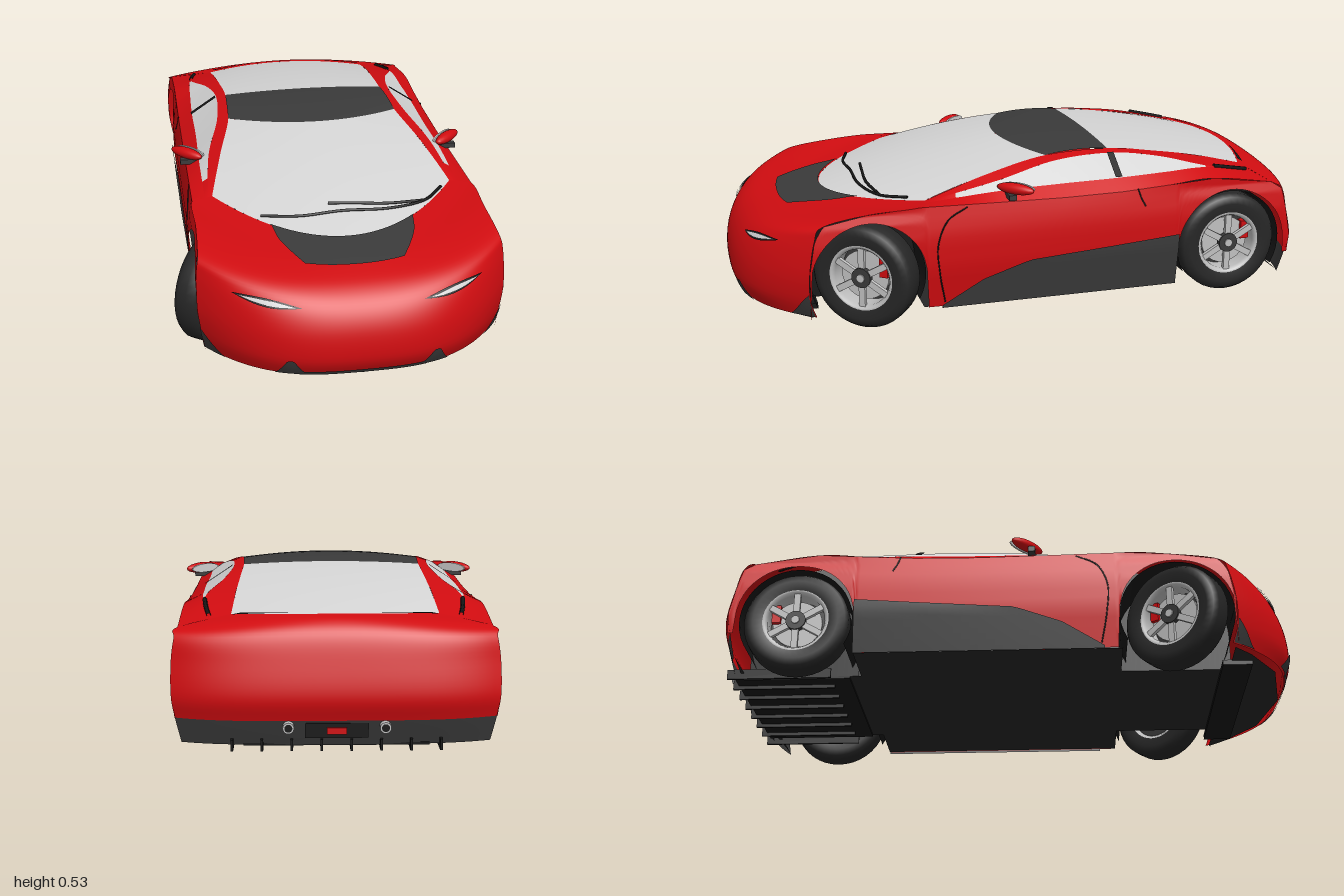
import * as THREE from 'three';
import { ParametricGeometry } from 'three/addons/geometries/ParametricGeometry.js';

const mat = (name, color) => new THREE.MeshStandardMaterial({ name, color, side: THREE.DoubleSide });
const lerp = THREE.MathUtils.lerp;
const V = (p) => new THREE.Vector3(...p);

// Linear lookup in rows of [key, value], keys ascending
function lookup(rows, k) {
  if (k <= rows[0][0]) return rows[0][1];
  for (let i = 1; i < rows.length; i++) {
    const [a, va] = rows[i - 1], [b, vb] = rows[i];
    if (k <= b) return lerp(va, vb, (k - a) / (b - a));
  }
  return rows[rows.length - 1][1];
}

// Smooth curve through rows of numbers, t counts rows
function spline(rows, t) {
  const n = rows.length - 1, i = Math.min(Math.floor(Math.max(t, 0)), n - 1), f = t - i;
  const p = (k) => rows[Math.min(Math.max(k, 0), n)];
  return rows[i].map((_, c) => {
    const a = p(i - 1)[c], b = p(i)[c], d = p(i + 1)[c], e = p(i + 2)[c];
    return b + 0.5 * f * (d - a + f * (2 * a - 5 * b + 4 * d - e + f * (3 * (b - d) + e - a)));
  });
}

// Rings of the nose and tail: half width, y, y gain at edge, z, z loss at edge, roundness
const NOSE = [
  [0.41, 0.375, 0.035, 0.665, 0.295, 2], [0.48, 0.365, 0.045, 0.74, 0.34, 2],
  [0.48, 0.35, 0.05, 0.82, 0.25, 2.4], [0.486, 0.325, 0.05, 0.90, 0.18, 3],
  [0.494, 0.28, 0.05, 0.955, 0.205, 3], [0.497, 0.21, 0.01, 0.988, 0.218, 3],
  [0.487, 0.12, 0.01, 0.995, 0.225, 3], [0.477, 0.062, 0, 0.97, 0.22, 3],
];
const TAIL = [
  [0.32, 0.435, -0.01, -0.865, -0.06, 2], [0.48, 0.425, -0.03, -0.91, -0.05, 2],
  [0.488, 0.385, -0.015, -0.95, -0.05, 4], [0.497, 0.30, 0, -0.975, -0.06, 4],
  [0.497, 0.20, 0, -0.992, -0.057, 4], [0.487, 0.13, 0, -0.975, -0.05, 4],
  [0.47, 0.05, 0, -0.95, -0.04, 4],
];
const ring = (rows) => (u, t) => {
  const [w, y, dy, z, dz, p] = spline(rows, t), a = Math.abs(u);
  return [w * u, y + dy * a * a, z - dz * a ** p];
};
const nose = ring(NOSE), tail = ring(TAIL);

// Side wall: x by height, upper edge and arched lower edge by z
const WHEEL_Y = 0.18, FRONT_Z = 0.575, REAR_Z = -0.71;
const sideX = (y) => lookup([[0.05, 0.475], [0.2, 0.497], [0.3, 0.497], [0.36, 0.49], [0.395, 0.48]], y);
const sideTop = (z) => lookup([[-0.935, 0.2], [-0.915, 0.3], [-0.9, 0.37], [-0.86, 0.395], [-0.64, 0.425],
  [-0.48, 0.415], [-0.31, 0.405], [-0.1, 0.402], [0.12, 0.405], [0.4, 0.41], [0.57, 0.4], [0.72, 0.375],
  [0.75, 0.33], [0.77, 0.22]], z);
const arch = (z, c, r) => (Math.abs(z - c) < r ? WHEEL_Y + Math.sqrt(r * r - (z - c) ** 2) : 0);
const sideLow = (z) => Math.min(sideTop(z),
  Math.max(z < -0.9 ? 0.13 : 0.055, arch(z, FRONT_Z, 0.192), arch(z, REAR_Z, 0.2)));

// Glass panels as ruled patches with a bulge
const wsBase = (u) => [0.41 * u, 0.375 + 0.035 * u * u, 0.665 - 0.295 * u * u];
const wsTop = (u) => [0.31 * u, 0.515 - 0.01 * u * u, 0.02 - 0.1 * u * u];
const roofBack = (u) => [0.30 * u, 0.52 - 0.01 * u * u, -0.31];
const rearBase = (u) => [0.32 * u, 0.435 - 0.01 * u * u, -0.865 + 0.06 * u * u];
const ruled = (A, B, bulge) => (u, v) => {
  const a = A(u), b = B(u), p = a.map((q, i) => lerp(q, b[i], v));
  p[1] += bulge * 4 * v * (1 - v);
  return p;
};
const windshield = ruled(wsBase, wsTop, 0.01);

// Lines running along the cabin from front to back
const line = (...pts) => {
  const c = new THREE.CatmullRomCurve3(pts.map(V), false, 'catmullrom', 0.5);
  return (t) => c.getPoint(t).toArray();
};
const glassEdge = line([0.41, 0.41, 0.37], [0.36, 0.468, 0.145], [0.31, 0.505, -0.08], [0.30, 0.51, -0.31],
  [0.306, 0.49, -0.48], [0.313, 0.464, -0.64], [0.32, 0.425, -0.805]);
const windowTop = line([0.425, 0.41, 0.376], [0.40, 0.455, 0.12], [0.35, 0.495, -0.1], [0.335, 0.503, -0.31],
  [0.36, 0.485, -0.48], [0.41, 0.452, -0.64], [0.385, 0.413, -0.827]);
const belt = line([0.435, 0.41, 0.381], [0.435, 0.43, 0.12], [0.43, 0.436, -0.1], [0.43, 0.44, -0.31],
  [0.425, 0.445, -0.48], [0.417, 0.448, -0.64], [0.386, 0.412, -0.828]);
const shoulder = line([0.48, 0.41, 0.40], [0.48, 0.405, 0.12], [0.48, 0.402, -0.1], [0.48, 0.405, -0.31],
  [0.48, 0.415, -0.48], [0.48, 0.425, -0.64], [0.48, 0.395, -0.86]);

export function createModel() {
  const car = new THREE.Group();
  car.name = 'sportsCar';
  const red = mat('red paint', 0xd00c10), grey = mat('dark grey panel', 0x3a3a3a);
  const black = mat('black trim', 0x161616), glass = mat('pale glass', 0xd4d4d4);
  const rubber = mat('tyre rubber', 0x262626), silver = mat('silver metal', 0xc0c0c0);

  const add = (name, geo, m, parent = car) => {
    const mesh = new THREE.Mesh(geo, m);
    mesh.name = name;
    parent.add(mesh);
    return mesh;
  };
  const patch = (name, m, fn, nu = 24, nv = 10) => {
    const g = new ParametricGeometry((u, v, p) => p.set(...fn(u, v)), nu, nv);
    g.computeVertexNormals();
    return add(name, g, m);
  };
  const tube = (name, m, pts, r) =>
    add(name, new THREE.TubeGeometry(new THREE.CatmullRomCurve3(pts.map(V)), 24, r, 6), m);
  const shift = (p, x, y, z) => [p[0] + x, p[1] + y, p[2] + z];
  const wide = (fn) => (s, v) => fn(2 * s - 1, v);

  // Nose, tail and roof surfaces
  patch('hoodAndFrontBumper', red, wide((u, v) => nose(u, v * 7)), 48, 42);
  patch('rearDeckAndBumper', red, wide((u, v) => tail(u, v * 5)), 40, 30);
  patch('rearLowerBumper', grey, wide((u, v) => tail(u, 5 + v)), 40, 6);
  patch('windshield', glass, wide(windshield), 32, 14);
  patch('roofPanel', grey, wide(ruled(wsTop, roofBack, 0.008)), 24, 10);
  patch('rearWindow', glass, wide(ruled(roofBack, rearBase, 0.01)), 24, 14);
  patch('hoodPanel', grey, wide((u, v) => shift(nose(u * lerp(0.58, 0.33, v), 0.02 + 1.9 * v), 0, 0.004, 0.001)), 24, 14);
  patch('frontIntake', grey, wide((u, v) => shift(nose(u * 0.42, 6.65 + 0.35 * v), 0, 0, 0.004)), 20, 4);
  const lip = add('frontLip', new THREE.BoxGeometry(0.7, 0.018, 0.1), black);
  lip.position.set(0, 0.05, 0.78);

  // Floor with wheel openings
  const half = [[0.25, 0.92], [0.4, 0.82], [0.46, 0.76], [0.28, 0.76], [0.28, 0.39], [0.47, 0.39],
    [0.47, -0.51], [0.28, -0.51], [0.28, -0.91], [0.46, -0.91]];
  const outline = [[0, 0.965], ...half, [0, -0.95], ...half.map(([x, z]) => [-x, z]).reverse()];
  const floor = new THREE.ShapeGeometry(new THREE.Shape(outline.map(([x, z]) => new THREE.Vector2(x, z))));
  add('floor', floor.rotateX(Math.PI / 2).translate(0, 0.055, 0), rubber);

  // Rear diffuser, number plate recess and wipers
  add('diffuserPanel', new THREE.BoxGeometry(0.56, 0.008, 0.4), black).position.set(0, 0.052, -0.75);
  for (let i = 0; i < 8; i++)
    add('diffuserFin', new THREE.BoxGeometry(0.008, 0.035, 0.36), black).position.set(-0.315 + i * 0.09, 0.053, -0.79);
  add('plateRecess', new THREE.BoxGeometry(0.19, 0.045, 0.012), black).position.set(0, 0.1, -0.97);
  add('rearFogLight', new THREE.BoxGeometry(0.06, 0.02, 0.006), red).position.set(0, 0.1, -0.978);
  const onGlass = (list) => list.map(([u, v]) => shift(windshield(u, v), 0, 0.007, 0.003));
  tube('longWiper', black, onGlass([[0.9, 0.02], [0.72, 0.03], [0.4, 0.12], [0, 0.18], [-0.35, 0.12], [-0.65, 0.03]]), 0.005);
  tube('shortWiper', black, onGlass([[0.72, 0.03], [0.4, 0.16], [0.1, 0.23], [-0.1, 0.24]]), 0.005);

  for (const s of [1, -1]) {
    const flip = (p) => [p[0] * s, p[1], p[2]];
    const between = (A, B, t0 = 0, t1 = 1, off = 0) => (u, v) => {
      const t = lerp(t0, t1, u), a = A(t), b = B(t);
      return flip(shift(a.map((q, i) => lerp(q, b[i], v)), off, off, 0));
    };
    // Cabin side
    patch('roofRail', red, between(glassEdge, windowTop), 48, 4);
    patch('cowlCorner', red, between(windowTop, belt, 0, 0.07), 6, 3);
    patch('sideWindow', glass, between(windowTop, belt, 0.07, 0.83), 40, 4);
    patch('rearQuarter', red, between(windowTop, belt, 0.83, 1), 8, 3);
    patch('doorPillar', black, between(windowTop, belt, 0.487, 0.508, 0.004), 2, 4);
    patch('shoulder', red, between(belt, shoulder), 48, 4);
    tube('rearVentEdge', black, [0.86, 0.92, 0.98].map((t) => flip(shift(windowTop(t), 0, 0.003, 0))), 0.007);

    // Body side, skirt and door seam
    patch('bodySide', red, (u, v) => {
      const z = lerp(-0.935, 0.77, u), y = lerp(sideLow(z), sideTop(z), v);
      return flip([sideX(y), y, z]);
    }, 190, 10);
    patch('sideSkirt', grey, (u, v) => {
      const z = lerp(-0.51, 0.33, u);
      const top = lookup([[-0.51, 0.24], [-0.25, 0.22], [0.03, 0.2], [0.19, 0.145], [0.33, 0.06]], z);
      const y = lerp(0.05, top, v);
      return flip([sideX(y) + 0.006, y, z]);
    }, 30, 8);
    const seam = (pts) => tube('doorSeam', black, pts.map(([z, y]) => flip([sideX(y), y, z])), 0.0025);
    seam([[0.24, 0.4], [0.31, 0.36], [0.345, 0.28], [0.34, 0.18], [0.32, 0.07]]);
    seam([[-0.36, 0.41], [-0.37, 0.38], [-0.385, 0.35]]);

    // Headlight slit, lower bumper trims and rear vent
    const onNose = (name, m, u0, u1, lo, hi, d) => patch(name, m, (a, b) =>
      shift(nose(s * lerp(u0, u1, a), lerp(lo(a), hi(a), b)), s * d * 0.5, d * 0.5, d), 16, 3);
    const bow = (a) => Math.sin(Math.PI * a);
    onNose('headlightFrame', black, 0.38, 0.8, (a) => 4 - 0.2 * bow(a), (a) => 4 + 0.16 * bow(a), 0.003);
    onNose('headlight', glass, 0.42, 0.77, (a) => 4 - 0.13 * bow(a), (a) => 4 + 0.09 * bow(a), 0.006);
    onNose('bumperCorner', grey, 0.87, 1, (a) => 7 - 1.2 * a, () => 7, 0.004);
    onNose('bumperFin', grey, 0.36, 0.57, (a) => 7 - Math.min(1, 2.5 * Math.min(a, 1 - a)), () => 7, 0.007);
    patch('rearVent', black, (a, b) =>
      shift(tail(s * lerp(0.42, 0.9, a), 0.05 + 0.2 * b * (0.4 + a * 0.6)), 0, 0.005, 0), 10, 3);

    // Exhaust pipe
    const pipe = add('exhaust', new THREE.CylinderGeometry(0.017, 0.017, 0.06, 16), silver);
    pipe.rotation.x = Math.PI / 2;
    pipe.position.set(s * 0.145, 0.113, -0.968);
    const bore = add('exhaustBore', new THREE.CircleGeometry(0.012, 16), black);
    bore.position.set(s * 0.145, 0.113, -0.999);

    // Door mirror
    const mirror = new THREE.Group();
    mirror.name = 'doorMirror';
    mirror.position.set(s * 0.475, 0.446, 0.075);
    mirror.rotation.y = s * Math.PI / 4;
    car.add(mirror);
    add('mirrorCap', new THREE.SphereGeometry(1, 20, 12).scale(0.07, 0.019, 0.022), red, mirror);
    add('mirrorGlass', new THREE.CylinderGeometry(1, 1, 0.006, 20).rotateX(Math.PI / 2).scale(0.062, 0.016, 1), glass, mirror)
      .position.z = -0.02;
    const stalk = add('mirrorStalk', new THREE.BoxGeometry(0.09, 0.018, 0.025), grey);
    stalk.position.set(s * 0.455, 0.422, 0.09);

    for (const [z, steer, label] of [[FRONT_Z, -0.61, 'front'], [REAR_Z, 0, 'rear']]) {
      // Wheel housing
      const r = 0.192;
      patch(label + 'WheelHousing', black, (u, v) => {
        const a = lerp(-0.5, Math.PI + 0.5, u);
        return [s * lerp(0.28, 0.475, v), WHEEL_Y + r * Math.sin(a), z + r * Math.cos(a)];
      }, 28, 2);
      patch(label + 'HousingWall', black, (u, v) => {
        const c = Math.cos(Math.PI * u);
        return [s * 0.28, lerp(0.055, WHEEL_Y + r * Math.sin(Math.PI * u), v), z + r * c];
      }, 24, 2);

      // Wheel, local +x faces outward
      const wheel = new THREE.Group();
      wheel.name = label + 'Wheel';
      wheel.position.set(s * 0.43, WHEEL_Y, z);
      wheel.rotation.y = steer + (s < 0 ? Math.PI : 0);
      car.add(wheel);
      const lathe = (pts) => new THREE.LatheGeometry(pts.map((p) => new THREE.Vector2(...p)), 40).rotateZ(-Math.PI / 2);
      add('tyre', lathe([[0.112, -0.046], [0.145, -0.053], [0.168, -0.046], [0.179, -0.03], [0.18, 0],
        [0.179, 0.03], [0.168, 0.046], [0.145, 0.053], [0.112, 0.046]]), rubber, wheel);
      add('rim', lathe([[0.112, -0.046], [0.1, -0.04], [0.098, 0.035], [0.106, 0.047], [0.115, 0.046]]), silver, wheel);
      const disc = (name, rad, h, m, x) =>
        add(name, new THREE.CylinderGeometry(rad, rad, h, 28).rotateZ(Math.PI / 2), m, wheel).position.x = x;
      disc('wheelBack', 0.1, 0.006, grey, -0.03);
      disc('brakeDisc', 0.085, 0.01, silver, 0.005);
      disc('hub', 0.034, 0.02, grey, 0.036);
      disc('hubCap', 0.014, 0.006, silver, 0.048);
      for (let i = 0; i < 6; i++) {
        const spoke = new THREE.BoxGeometry(0.014, 0.08, 0.022).translate(0.034, 0.062, 0).rotateX(i * Math.PI / 3);
        add('spoke', spoke, silver, wheel);
      }
      add('brakeCaliper', new THREE.BoxGeometry(0.03, 0.065, 0.03), red, wheel).position.set(0.008, 0.035, s * -0.072);
    }
  }
  return car;
}
